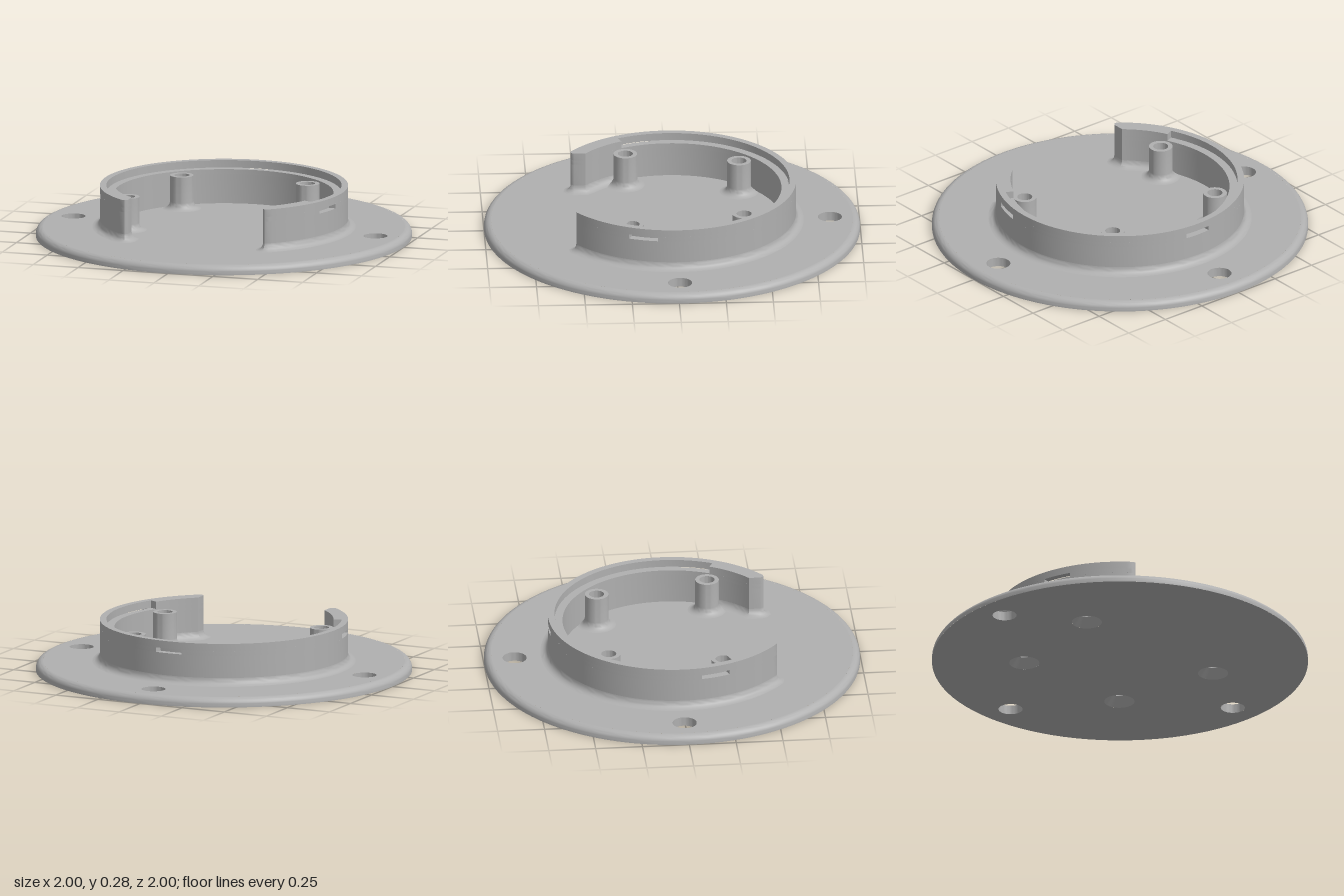
import * as THREE from 'three';
import { toCreasedNormals } from 'three/addons/utils/BufferGeometryUtils.js';

const PLATE = 0.05, LEDGE = 0.235, TOP = 0.275;
const R_OUT = 0.66, R_IN = 0.582, R_RIM = 0.625, R_SLOT = 0.62, R_FILLET = 0.04;
const A_OUT = 0.66, A_IN = 0.70, A_LEDGE = 1.13; // angles from the front (+z)
const TURN = Math.PI * 2;
const POSTS = [[0.35, -0.37], [-0.35, -0.37], [0.465, 0.23], [-0.465, 0.23]];
const SCREWS = [[0.84, -0.01], [-0.84, -0.01], [0, -0.84]];

// Points (x, z) along an arc around the centre
function arc(r, from, to, n = 12) {
  return Array.from({ length: n + 1 }, (_, i) => {
    const a = from + (to - from) * i / n;
    return new THREE.Vector2(r * Math.sin(a), r * Math.cos(a));
  });
}

// Closed outline of the open ring; ends are cut straight with rounded outer corners
const corner = [[0.375, 0.505], [0.379, 0.516], [0.389, 0.524]].map(p => new THREE.Vector2(...p));
const mirrorCorner = corner.map(p => new THREE.Vector2(-p.x, p.y)).reverse();
const plainOuter = arc(R_OUT, A_OUT, TURN - A_OUT, 96);
const plainInner = arc(R_IN, TURN - A_IN, A_IN, 96);
const ringOutline = (outer, inner) => [...corner, ...outer, ...mirrorCorner, ...inner];

// Outer edge with three recessed slots
function slottedOuter() {
  const slots = [[1.18, 1.42], [Math.PI - 0.115, Math.PI + 0.115], [TURN - 1.42, TURN - 1.18]];
  const pts = [];
  let a = A_OUT;
  for (const [s, e] of slots) {
    pts.push(...arc(R_OUT, a, s, 30), ...arc(R_SLOT, s, e, 8));
    a = e;
  }
  return [...pts, ...arc(R_OUT, a, TURN - A_OUT, 30)];
}

// Extrude an (x, z) outline between two heights
function slab(outline, y0, y1) {
  const g = new THREE.ExtrudeGeometry(new THREE.Shape(outline), { depth: y1 - y0, bevelEnabled: false });
  return g.rotateX(Math.PI / 2).translate(0, y1, 0);
}

// Flat disc with all through holes, facing up or down
function disc(radius, y, up, postHole) {
  const s = up ? -1 : 1;
  const shape = new THREE.Shape().absarc(0, 0, radius, 0, TURN);
  const cut = ([x, z], r) => shape.holes.push(new THREE.Path().absarc(x, s * z, r, 0, TURN, true));
  SCREWS.forEach(p => cut(p, 0.064));
  POSTS.forEach(p => cut(p, postHole));
  return new THREE.ShapeGeometry(shape, 48).rotateX(s * Math.PI / 2).translate(0, y, 0);
}

const lathe = (pts, n) => new THREE.LatheGeometry(pts.map(p => new THREE.Vector2(...p)), n);

// Concave quarter-round profile [offset, height] from plate up to wall
function filletProfile(n = 6) {
  return Array.from({ length: n + 1 }, (_, i) => {
    const t = i / n * Math.PI / 2;
    return [R_FILLET * (1 - Math.sin(t)), PLATE + R_FILLET * (1 - Math.cos(t))];
  });
}

// Sweep the fillet along a path on the plate
function filletSweep(path) {
  const profile = filletProfile(), m = profile.length, pos = [], idx = [];
  path.forEach((p, i) => {
    const a = path[Math.max(i - 1, 0)], b = path[Math.min(i + 1, path.length - 1)];
    const t = b.clone().sub(a).normalize();
    for (const [d, y] of profile) pos.push(p.x - t.y * d, y, p.y + t.x * d);
    if (i === path.length - 1) return;
    for (let j = 0; j < m - 1; j++) {
      const q = i * m + j;
      idx.push(q, q + m, q + 1, q + m, q + m + 1, q + 1);
    }
  });
  const g = new THREE.BufferGeometry();
  g.setAttribute('position', new THREE.Float32BufferAttribute(pos, 3));
  g.setIndex(idx);
  g.computeVertexNormals();
  return g;
}

export function createModel() {
  const model = new THREE.Group();
  model.name = 'roundMount';
  const grey = new THREE.MeshStandardMaterial({ color: 0xb0b0b0 });
  grey.name = 'grey plastic';

  const add = (name, geometry, x = 0, z = 0) => {
    const mesh = new THREE.Mesh(toCreasedNormals(geometry, 0.6), grey);
    mesh.name = name;
    mesh.position.set(x, 0, z);
    model.add(mesh);
  };

  // Base plate with a rounded upper edge
  const edge = [[1, 0]];
  for (let i = 0; i <= 8; i++) {
    const t = i / 8 * Math.PI / 2;
    edge.push([0.962 + 0.038 * Math.cos(t), 0.012 + 0.038 * Math.sin(t)]);
  }
  add('plateEdge', lathe(edge, 128));
  add('plateTop', disc(0.962, PLATE, true, 0.04));
  add('plateBottom', disc(1, 0, false, 0.08));
  SCREWS.forEach(([x, z]) => add('screwHole', lathe([[0.064, PLATE], [0.064, 0]], 48), x, z));

  // Open ring wall: plain lower part, slotted band, thinner rim above the ledge
  add('wallLower', slab(ringOutline(plainOuter, plainInner), PLATE, 0.21));
  add('wallSlots', slab(ringOutline(slottedOuter(), plainInner), 0.21, LEDGE));
  const rimInner = [
    ...arc(R_IN, TURN - A_IN, TURN - A_LEDGE),
    ...arc(R_RIM, TURN - A_LEDGE, A_LEDGE, 80),
    ...arc(R_IN, A_LEDGE, A_IN),
  ];
  add('wallRim', slab(ringOutline(plainOuter, rimInner), LEDGE, TOP));

  // Fillet around the outside and the two wall ends
  add('wallFillet', filletSweep([
    ...arc(R_IN, A_LEDGE, A_IN), ...corner, ...plainOuter, ...mirrorCorner,
    ...arc(R_IN, TURN - A_IN, TURN - A_LEDGE),
  ]));

  // Hollow posts with flared feet and countersunk bores
  const post = [
    ...filletProfile().map(([d, y]) => [0.063 + d, y]),
    [0.063, 0.23], [0.04, 0.23], [0.04, 0.05], [0.08, 0],
  ];
  POSTS.forEach(([x, z]) => add('post', lathe(post, 40), x, z));

  return model;
}
